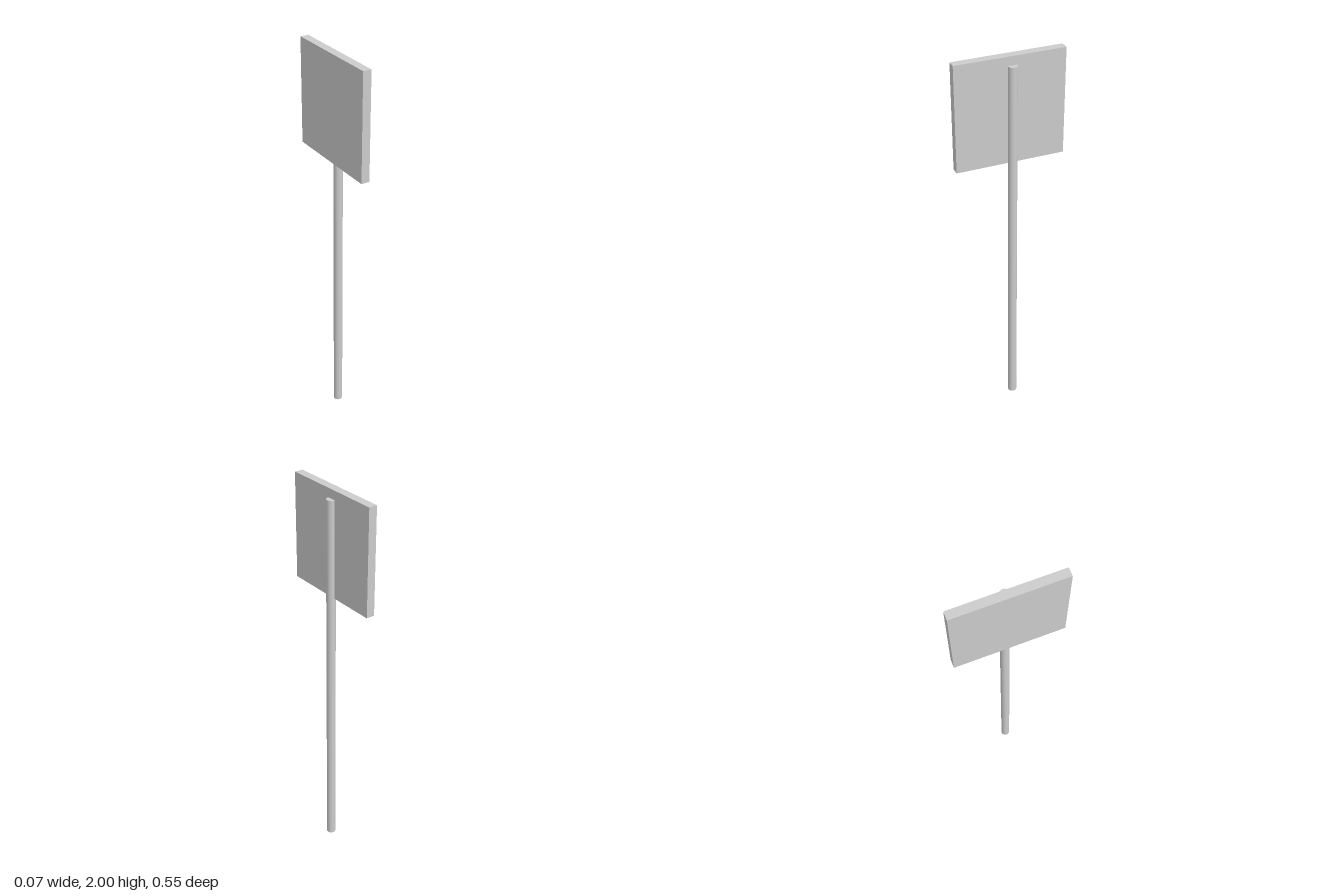
import * as THREE from 'three';

export function createModel() {
  const group = new THREE.Group();
  const material = new THREE.MeshStandardMaterial({ color: 0xcccccc });

  const addPart = (name, geometry, x, y, z) => {
    const mesh = new THREE.Mesh(geometry, material);
    mesh.name = name;
    mesh.position.set(x, y, z);
    group.add(mesh);
  };

  // Round post, partly sunk into the back of the panel
  const postHeight = 1.955;
  addPart('post', new THREE.CylinderGeometry(0.023, 0.023, postHeight, 32), 0.0115, postHeight / 2, -0.008);

  // Flat sign panel facing -x
  const panelHeight = 0.54;
  addPart('signPanel', new THREE.BoxGeometry(0.043, panelHeight, 0.545), -0.0135, 2 - panelHeight / 2, 0);

  return group;
}
